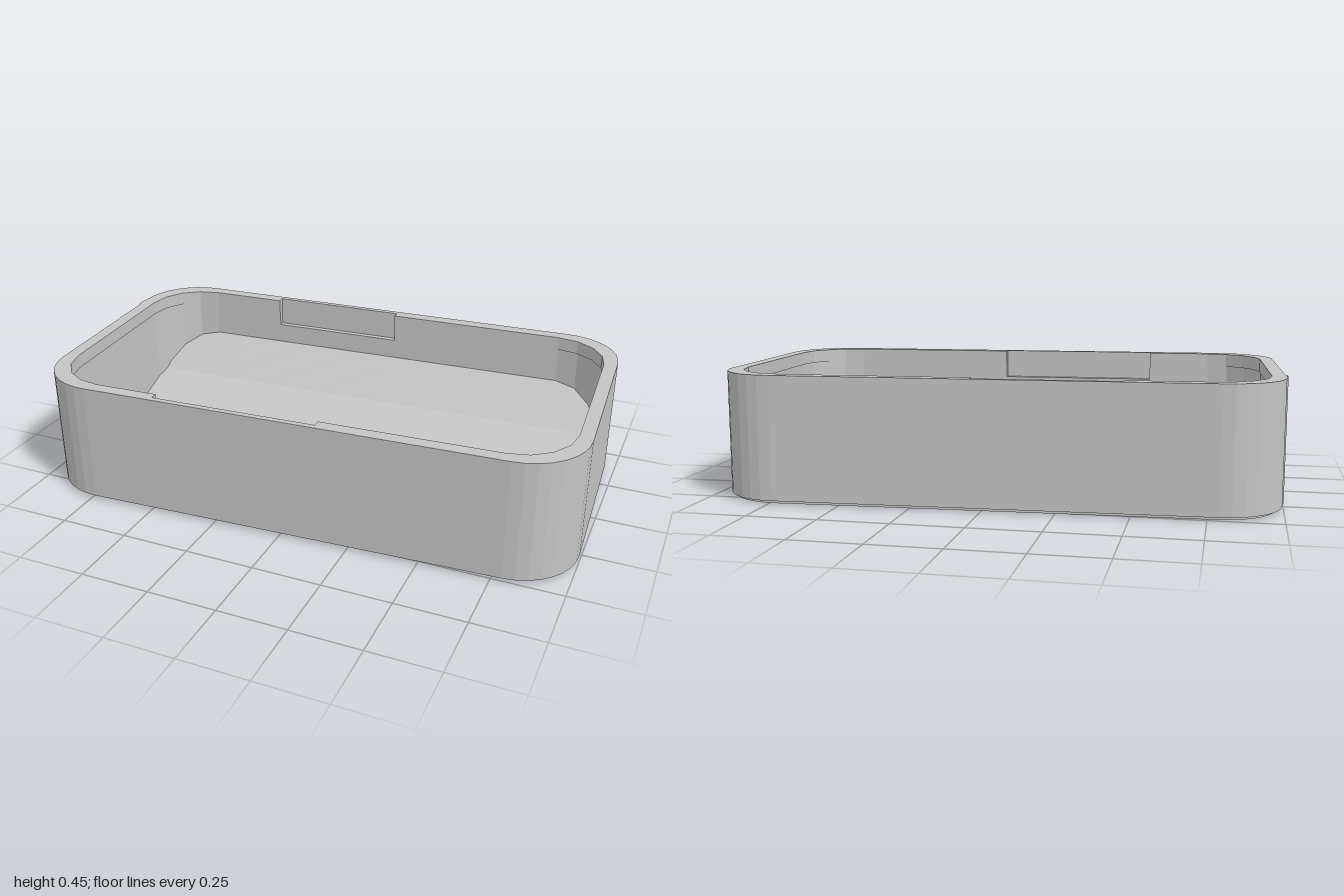
import * as THREE from 'three';

const HW = 0.982, HD = 0.541, R = 0.22;   // outer half width, half depth, corner radius

// Rounded rectangle as points; optional notches are pushed out of the long edges.
function outline(hw, hd, r, n, notches) {
  const pts = [];
  [[1, 1], [-1, 1], [-1, -1], [1, -1]].forEach(([sx, sz], c) => {
    for (let i = 0; i <= n; i++) {
      const a = (c + i / n) * Math.PI / 2;
      pts.push(new THREE.Vector2(sx * (hw - r) + r * Math.cos(a), sz * (hd - r) + r * Math.sin(a)));
    }
    const notch = notches && notches[c];
    if (notch) {
      const [x0, x1, depth] = notch;
      pts.push(new THREE.Vector2(x0, sz * hd), new THREE.Vector2(x0, sz * (hd + depth)),
        new THREE.Vector2(x1, sz * (hd + depth)), new THREE.Vector2(x1, sz * hd));
    }
  });
  return pts;
}

// Horizontal slab between two heights, with holes.
function slab(points, holes, y0, y1) {
  const shape = new THREE.Shape(points);
  holes.forEach(h => shape.holes.push(new THREE.Path(h)));
  const g = new THREE.ExtrudeGeometry(shape, { depth: y1 - y0, bevelEnabled: false });
  return g.rotateX(Math.PI / 2).translate(0, y1, 0);
}

// Trough floor: flat facets running along x, narrowed at the rounded corners.
function troughFloor() {
  const heights = [[0.12, 0.06], [0.35, 0.125], [0.505, 0.27]];
  const height = z => {
    const a = Math.abs(z);
    if (a <= heights[0][0]) return heights[0][1];
    const k = a <= heights[1][0] ? 0 : 1;
    const [za, ya] = heights[k], [zb, yb] = heights[k + 1];
    return ya + (yb - ya) * (a - za) / (zb - za);
  };
  const halfLength = z => {
    const d = Math.max(0, Math.abs(z) - 0.32);
    return 0.755 + Math.sqrt(0.205 * 0.205 - d * d);
  };
  const zs = [-0.505, -0.47, -0.43, -0.39, -0.35, -0.12, 0.12, 0.35, 0.39, 0.43, 0.47, 0.505];
  const pos = [];
  for (let i = 0; i < zs.length - 1; i++) {
    const [a, b] = [zs[i], zs[i + 1]];
    const p = [-halfLength(a), height(a), a], q = [halfLength(a), height(a), a];
    const s = [-halfLength(b), height(b), b], t = [halfLength(b), height(b), b];
    pos.push(...p, ...s, ...t, ...p, ...t, ...q);
  }
  const g = new THREE.BufferGeometry();
  g.setAttribute('position', new THREE.Float32BufferAttribute(pos, 3));
  g.computeVertexNormals();
  return g;
}

export function createModel() {
  const grey = new THREE.MeshStandardMaterial({ color: 0xc4c4c4 });
  grey.name = 'plainGrey';
  const model = new THREE.Group();
  model.name = 'tray';
  const body = new THREE.Group();
  body.name = 'trayBody';
  body.rotation.y = 0.05;
  model.add(body);
  const add = (name, geometry) => {
    const mesh = new THREE.Mesh(geometry, grey);
    mesh.name = name;
    body.add(mesh);
  };

  const outer = outline(HW, HD, R, 8);
  const plate = outline(HW - 0.02, HD - 0.02, R - 0.02, 8);
  // Latch recesses in the front and back walls, reaching the same depth at each level.
  const opening = (inset, notched) => outline(HW - inset, HD - inset, 0.2, 4, notched &&
    { 0: [0.105, -0.5, inset - 0.021], 2: [-0.445, 0.065, inset - 0.021] });

  add('skirt', slab(outer, [plate], 0.012, 0.02));
  add('lowerBody', slab(outer, [], 0.02, 0.04));
  add('wall', slab(outer, [opening(0.043, false)], 0.04, 0.34));
  add('upperWall', slab(outer, [opening(0.043, true)], 0.34, 0.4));
  add('rim', slab(outer, [opening(0.048, true)], 0.4, 0.45));
  add('floor', troughFloor());

  // Base plate with a row of chevron grooves, shortened where they meet the round corners.
  const grooves = [];
  const width = 0.05;
  for (let i = 0; i < 12; i++) {
    const a = 0.87 - i * 0.1145;
    let reach = 0.51;
    while (Math.hypot(Math.max(0, 0.762 - a + reach + width - 1.524), reach - 0.321) > 0.192) reach -= 0.005;
    const tip = a - reach;
    grooves.push([[a, 0], [tip, reach], [tip - width, reach],
      [a - width, 0], [tip - width, -reach], [tip, -reach]]
      .map(([x, z]) => new THREE.Vector2(x, z)));
  }
  add('basePlate', slab(plate, grooves, 0, 0.02));

  // Thin upright seam on the right end.
  add('seam', new THREE.BoxGeometry(0.02, 0.438, 0.04).translate(-HW + 0.004, 0.231, -0.28));
  return model;
}
